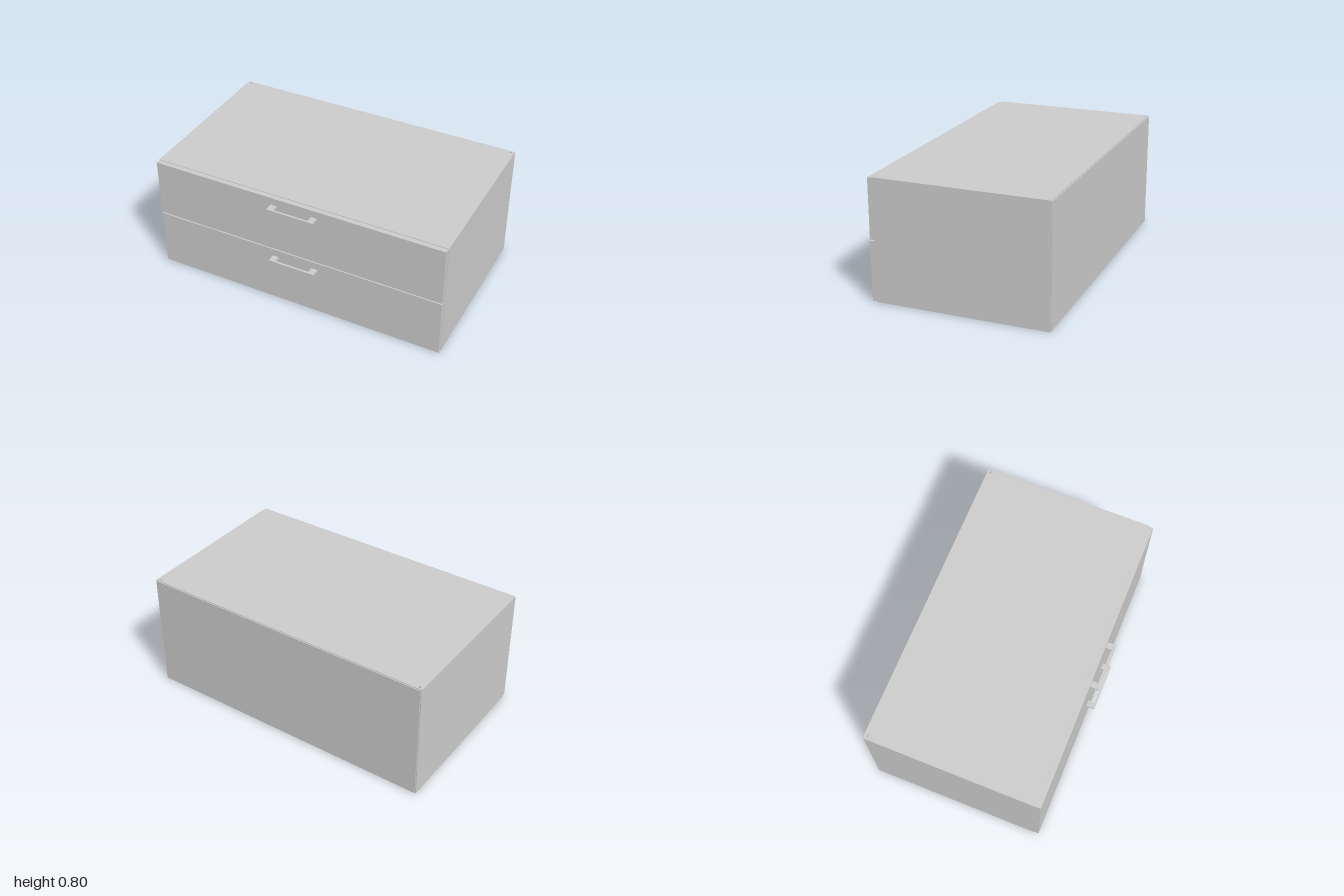
import * as THREE from 'three';

const material = new THREE.MeshStandardMaterial({ color: 0xcccccc });

// Box given by its minimum and maximum corners
function box(parent, name, [x0, y0, z0], [x1, y1, z1]) {
  const mesh = new THREE.Mesh(new THREE.BoxGeometry(x1 - x0, y1 - y0, z1 - z0), material);
  mesh.name = name;
  mesh.position.set((x0 + x1) / 2, (y0 + y1) / 2, (z0 + z1) / 2);
  parent.add(mesh);
  return mesh;
}

// Top board with a small oval fixing hole near each back corner
function topBoard(t, back, front, height) {
  const shape = new THREE.Shape([
    new THREE.Vector2(-1, -front), new THREE.Vector2(1, -front),
    new THREE.Vector2(1, -back), new THREE.Vector2(-1, -back),
  ]);
  for (const s of [-1, 1]) {
    const hole = new THREE.Path();
    hole.absellipse(s * 0.975, 0.585, 0.01, 0.006, 0, Math.PI * 2, true);
    shape.holes.push(hole);
  }
  const geometry = new THREE.ExtrudeGeometry(shape, { depth: t, bevelEnabled: false, curveSegments: 8 });
  geometry.rotateX(-Math.PI / 2).translate(0, height - t, 0);
  const mesh = new THREE.Mesh(geometry, material);
  mesh.name = 'topBoard';
  return mesh;
}

export function createModel() {
  const model = new THREE.Group();
  model.name = 'drawerCabinet';
  const H = 0.8, T = 0.035, BACK = -0.602, FRONT = 0.52;

  // Carcass
  const carcass = new THREE.Group();
  carcass.name = 'carcass';
  model.add(carcass);
  carcass.add(topBoard(T, BACK, FRONT, H));
  box(carcass, 'bottomBoard', [-1, 0, BACK], [1, T, FRONT]);
  for (const s of [-1, 1]) {
    const side = box(carcass, s > 0 ? 'leftSide' : 'rightSide', [1 - T, T, BACK], [1, H - T, FRONT]);
    side.position.x *= s;
  }
  box(carcass, 'backPanel', [-0.995, 0.005, -0.609], [0.995, H - 0.005, BACK]);

  // Two drawers, each with a front, an open box and a handle
  for (const [i, y] of [0, 0.4].entries()) {
    const drawer = new THREE.Group();
    drawer.name = i ? 'upperDrawer' : 'lowerDrawer';
    drawer.position.y = y;
    model.add(drawer);
    box(drawer, 'drawerFront', [-0.997, 0.004, FRONT], [0.997, 0.396, 0.553]);

    box(drawer, 'drawerBottom', [-0.93, 0.06, -0.55], [0.93, 0.075, FRONT]);
    box(drawer, 'drawerBack', [-0.93, 0.075, -0.55], [0.93, 0.3, -0.53]);
    for (const s of [-1, 1]) {
      box(drawer, 'drawerSide', [0.91, 0.075, -0.53], [0.93, 0.3, FRONT]).position.x *= s;
    }

    // Handle: slim bar on two flat feet
    const handle = new THREE.Group();
    handle.name = 'handle';
    drawer.add(handle);
    box(handle, 'handleBar', [-0.118, 0.333, 0.595], [0.118, 0.346, 0.609]);
    for (const s of [-1, 1]) {
      box(handle, 'handleFoot', [0.118, 0.333, 0.553], [0.16, 0.346, 0.609]).position.x *= s;
    }
  }
  return model;
}
